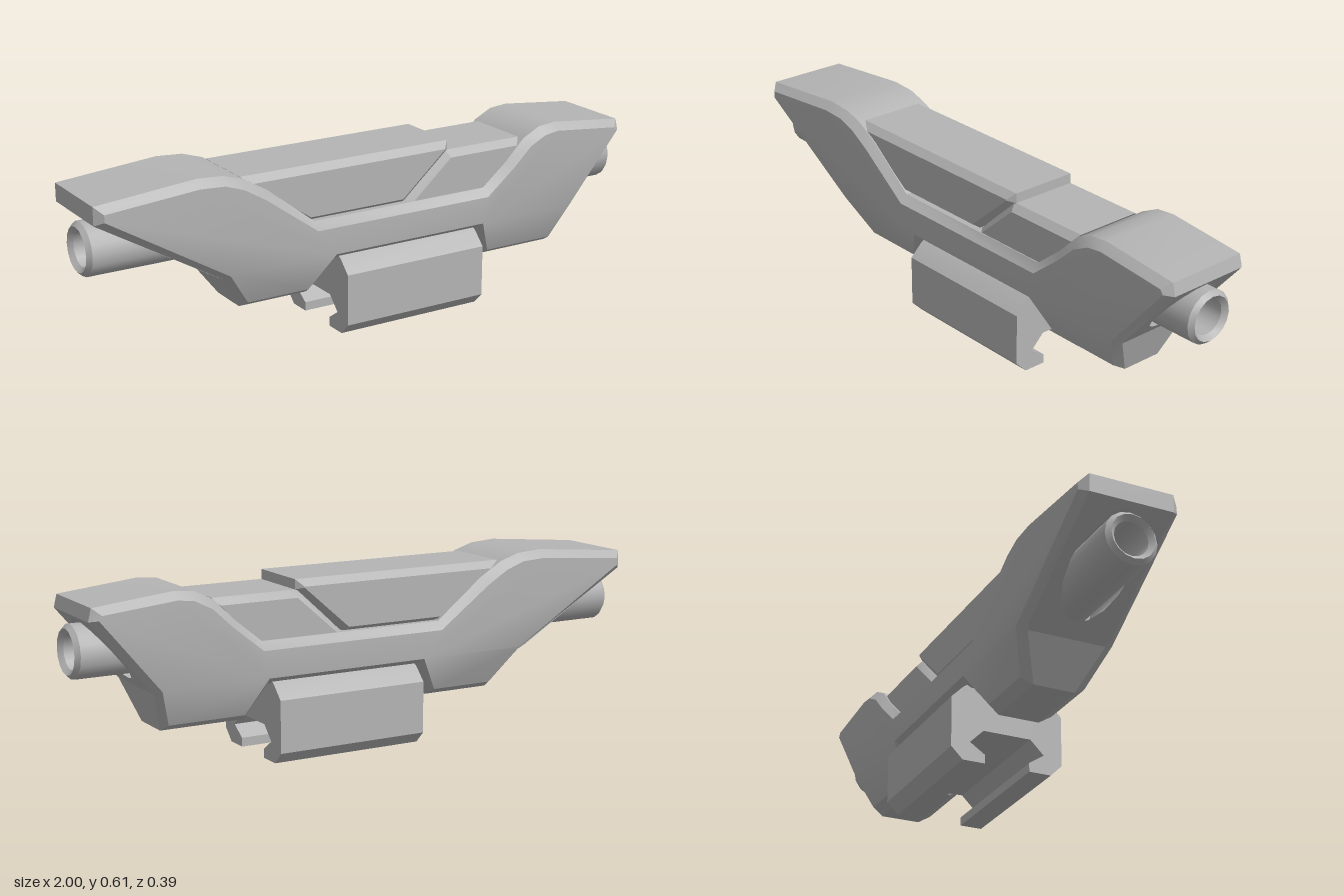
import * as THREE from 'three';
import { toCreasedNormals } from 'three/addons/utils/BufferGeometryUtils.js';

const gunmetal = new THREE.MeshStandardMaterial({ color: 0xb4b4b4, side: THREE.DoubleSide });
gunmetal.name = 'plain grey';

const CENTRE_Y = 0.4, SIDES = 16;

function part(name, geometry, crease = 0.5) {
  const mesh = new THREE.Mesh(toCreasedNormals(geometry, crease), gunmetal);
  mesh.name = name;
  return mesh;
}

// Slab with chamfered rims: counter-clockwise [outerX, outerY, insetX, insetY] rows.
// zRim and zFace give the half widths of the outline and of the inset side face at a height.
function chamferedSlab(rows, zRim, zFace, caps, openEdges = []) {
  const outer = rows.map(([x, y]) => [x, y, zRim(y)]);
  const inset = rows.map(([, , x, y]) => [x, y, zFace(y)]);
  const flip = (ring) => ring.map(([x, y, z]) => [x, y, -z]);
  const loops = [inset, outer, flip(outer), flip(inset)];
  const pos = [];
  for (let k = 0; k < 3; k++) {
    const a = loops[k], b = loops[k + 1];
    for (let i = 0; i < rows.length; i++) {
      if (k === 1 && openEdges.includes(i)) continue;
      const j = (i + 1) % rows.length;
      pos.push(...a[i], ...b[i], ...b[j], ...a[i], ...b[j], ...a[j]);
    }
  }
  for (const cap of caps) {
    const points = cap.map((i) => new THREE.Vector2(inset[i][0], inset[i][1]));
    for (const tri of THREE.ShapeUtils.triangulateShape(points, [])) {
      const [a, b, c] = tri.map((t) => cap[t]);
      pos.push(...inset[a], ...inset[b], ...inset[c]);
      pos.push(...loops[3][a], ...loops[3][c], ...loops[3][b]);
    }
  }
  const g = new THREE.BufferGeometry();
  g.setAttribute('position', new THREE.Float32BufferAttribute(pos, 3));
  return g;
}

// Body outline: left slope, two lugs, right slope, then the humped top back to the left
const BODY = [
  [-1, 0.515, -0.975, 0.528], [-0.58, 0.265, -0.565, 0.28],
  [-0.49, 0.135, -0.478, 0.158], [-0.245, 0.135, -0.257, 0.158],
  [-0.17, 0.255, -0.182, 0.28], [0.38, 0.255, 0.392, 0.28],
  [0.44, 0.135, 0.452, 0.158], [0.727, 0.135, 0.715, 0.158],
  [0.775, 0.27, 0.757, 0.28], [0.98, 0.513, 0.955, 0.518],
  [0.97, 0.555, 0.945, 0.533], [0.7, 0.583, 0.7, 0.557],
  [0.635, 0.577, 0.645, 0.55], [0.57, 0.545, 0.585, 0.52],
  [0.5, 0.475, 0.515, 0.455], [0.405, 0.397, 0.41, 0.37],
  [-0.25, 0.397, -0.25, 0.37], [-0.42, 0.53, -0.435, 0.505],
  [-0.5, 0.577, -0.51, 0.55], [-0.57, 0.599, -0.575, 0.573],
  [-0.66, 0.605, -0.66, 0.578], [-1, 0.575, -0.975, 0.552],
];
const taper = (y, rate) => rate * Math.max(0, 0.28 - y);
const bodyRim = (y) => 0.14 - taper(y, 0.48);
const bodyFace = (y) => 0.165 - taper(y, 0.45);

// Sloped end wall with a round opening, and the recess behind it
function addEnd(group, side, top, bottom, depthX, recessRadius) {
  const slopeX = (y) => bottom[0] + ((y - bottom[1]) / (top[1] - bottom[1])) * (top[0] - bottom[0]);
  const wall = new THREE.Shape([
    [-bodyRim(bottom[1]), bottom[1]], [bodyRim(bottom[1]), bottom[1]],
    [0.14, 0.28], [0.14, top[1]], [-0.14, top[1]], [-0.14, 0.28],
  ].map((p) => new THREE.Vector2(...p)));
  const hole = [];
  for (let i = 0; i < SIDES; i++) {
    const a = (-i / SIDES) * Math.PI * 2;
    hole.push(new THREE.Vector2(Math.cos(a) * recessRadius, CENTRE_Y + Math.sin(a) * recessRadius));
  }
  wall.holes.push(new THREE.Path(hole));
  const wallGeo = new THREE.ShapeGeometry(wall);
  const p = wallGeo.attributes.position;
  for (let i = 0; i < p.count; i++) {
    const u = p.getX(i), y = p.getY(i);
    p.setXYZ(i, slopeX(y), y, -side * u);
  }
  group.add(part('endWall', wallGeo));

  const recess = new THREE.CylinderGeometry(recessRadius, recessRadius, 1, SIDES, 1, true);
  recess.rotateY(Math.PI / 2).rotateZ(-Math.PI / 2).translate(0, CENTRE_Y, 0);
  const q = recess.attributes.position;
  for (let i = 0; i < q.count; i++) {
    q.setX(i, q.getX(i) * side > 0 ? slopeX(q.getY(i)) : depthX);
  }
  // Turn the wall to face the axis
  const idx = recess.index.array;
  for (let i = 0; i < idx.length; i += 3) [idx[i], idx[i + 1]] = [idx[i + 1], idx[i]];
  group.add(part('recessWall', recess));

  const floor = new THREE.RingGeometry(0.08, recessRadius, SIDES);
  floor.rotateY((side * Math.PI) / 2).translate(depthX, CENTRE_Y, 0);
  group.add(part('recessFloor', floor));
}

export function createModel() {
  const model = new THREE.Group();
  model.name = 'railMountedTubeHousing';

  // Housing with its two lugs
  const body = new THREE.Group();
  body.name = 'body';
  const upper = BODY.map((_, i) => i).filter((i) => BODY[i][3] >= 0.28);
  const caps = [upper, [1, 2, 3, 4], [5, 6, 7, 8]];
  body.add(part('housing', chamferedSlab(BODY, bodyRim, bodyFace, caps, [0, 8])));
  addEnd(body, -1, BODY[0], BODY[1], -0.55, 0.103);
  addEnd(body, 1, BODY[9], BODY[8], 0.72, 0.103);
  model.add(body);

  // Raised covers seated in the dip of the top
  const cover = (name, rows, zRim, zFace) => model.add(part(name,
    chamferedSlab(rows, () => zRim, () => zFace, [rows.map((_, i) => i)])));
  cover('longCover', [
    [-0.26, 0.395, -0.26, 0.41], [0.1, 0.395, 0.088, 0.41],
    [0.273, 0.545, 0.25, 0.552], [0.273, 0.578, 0.25, 0.555], [-0.5, 0.578, -0.47, 0.555],
  ], 0.115, 0.137);
  cover('shortCover', [
    [0.1, 0.39, 0.125, 0.39], [0.44, 0.39, 0.42, 0.39],
    [0.565, 0.545, 0.545, 0.522], [0.265, 0.545, 0.275, 0.522],
  ], 0.115, 0.137);

  // Hollow tube running from end to end
  const tube = new THREE.LatheGeometry([
    [0.057, -0.985], [0.073, -1], [0.087, -0.985], [0.087, 0.985],
    [0.073, 1], [0.057, 0.985], [0.057, -0.985],
  ].map((p) => new THREE.Vector2(...p)), SIDES);
  tube.rotateZ(-Math.PI / 2).translate(0, CENTRE_Y, 0);
  model.add(part('tube', tube));

  // Rail clamp with hooked jaws
  const half = [
    [0.083, 0.112], [0.13, 0.065], [0.078, 0.03], [0.078, 0],
    [0.155, 0], [0.195, 0.04], [0.195, 0.212], [0.152, 0.255], [0.128, 0.27],
  ];
  const outline = [...half, ...half.map(([z, y]) => [-z, y]).reverse()];
  const clamp = new THREE.ExtrudeGeometry(
    new THREE.Shape(outline.map((p) => new THREE.Vector2(...p))),
    { depth: 0.53, bevelEnabled: false });
  clamp.rotateY(Math.PI / 2).translate(-0.16, 0, 0);
  model.add(part('railClamp', clamp));

  return model;
}
